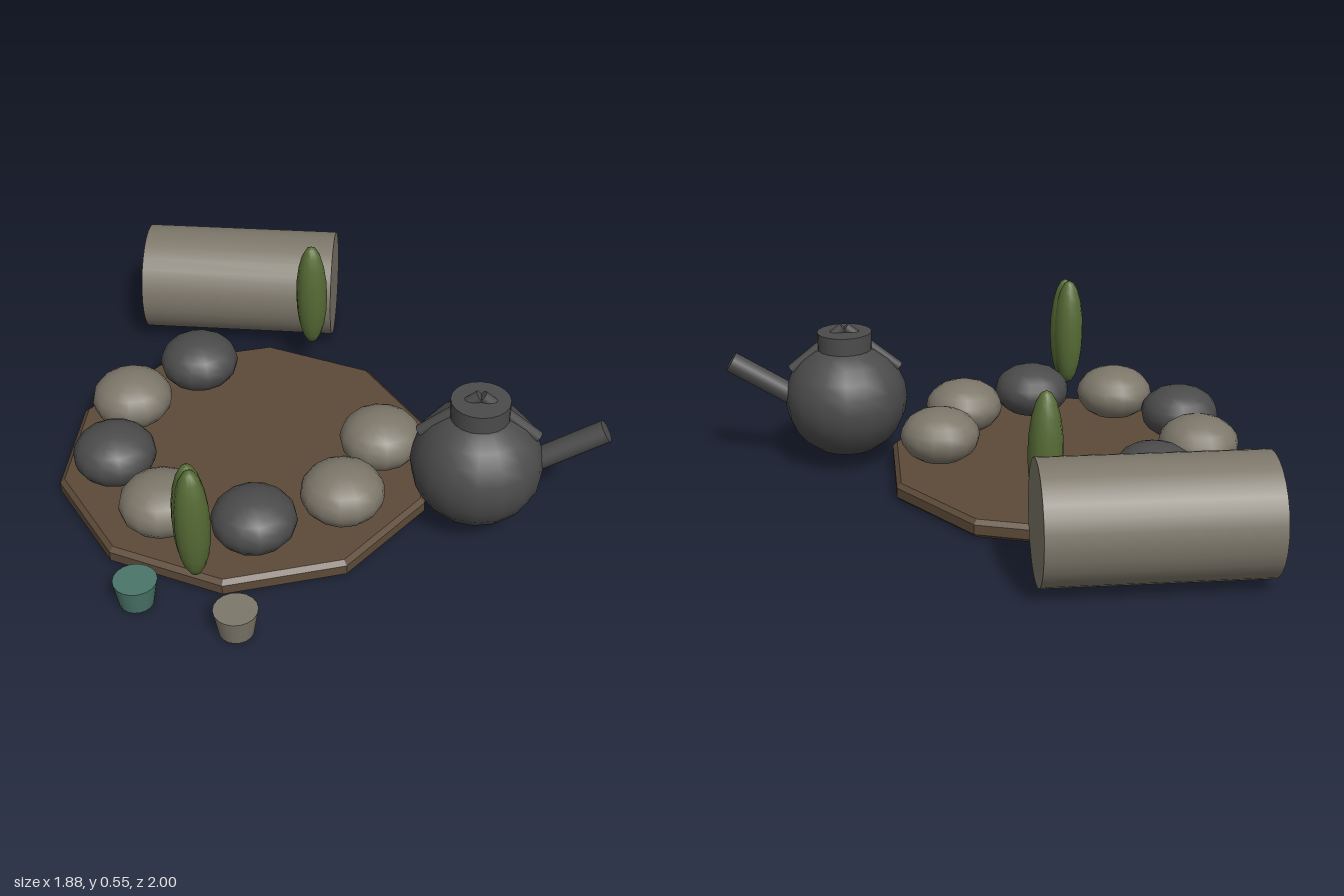
import * as THREE from 'three';

const mat = (name, color) => {
  const m = new THREE.MeshStandardMaterial({ color });
  m.name = name;
  return m;
};

export function createModel() {
  const group = new THREE.Group();
  const wood = mat('dark wood', 0x5c4a38);
  const paleStone = mat('pale stone', 0x7d776a);
  const charcoal = mat('charcoal', 0x4b4b4b);
  const leafGreen = mat('leaf green', 0x566b35);
  const teal = mat('teal', 0x4a7569);

  const add = (name, geometry, material, x, y, z, parent = group) => {
    const mesh = new THREE.Mesh(geometry, material);
    mesh.name = name;
    mesh.position.set(x, y, z);
    parent.add(mesh);
    return mesh;
  };
  // Straight rod between two points in the plane of constant z
  const rod = (name, r, a, b, z, parent) => {
    const dx = b[0] - a[0], dy = b[1] - a[1];
    const geo = new THREE.CylinderGeometry(r, r, Math.hypot(dx, dy), 12);
    const mesh = add(name, geo, charcoal, (a[0] + b[0]) / 2, (a[1] + b[1]) / 2, z, parent);
    mesh.rotation.z = Math.atan2(dy, dx) - Math.PI / 2;
  };

  // Ten-sided board with bevelled rims
  const cx = -0.305, cz = 0.11;
  const profile = [[0, 0], [0.655, 0], [0.672, 0.015], [0.672, 0.05], [0.655, 0.065], [0, 0.065]]
    .map(([r, y]) => new THREE.Vector2(r, y));
  const boardGeo = new THREE.LatheGeometry(profile, 10).toNonIndexed();
  boardGeo.computeVertexNormals();
  add('board', boardGeo, wood, cx, 0, cz);

  // Seven flattened stones, spaced 40 degrees around the board
  const stoneGeo = new THREE.SphereGeometry(0.145, 14, 10).scale(1, 0.69, 1);
  [paleStone, paleStone, charcoal, paleStone, charcoal, paleStone, charcoal].forEach((m, i) => {
    const a = i * Math.PI * 2 / 9;
    const stone = add('stone' + (i + 1), stoneGeo, m, cx + 0.472 * Math.cos(a), 0.165, cz + 0.472 * Math.sin(a));
    stone.rotation.y = i * 0.7;
  });

  // Kettle: body, lid, two handle bars and spout
  const kettle = new THREE.Group();
  kettle.name = 'kettle';
  group.add(kettle);
  const kx = 0.502, kz = 0.315;
  add('kettleBody', new THREE.SphereGeometry(0.226, 16, 12).scale(1, 0.95, 1), charcoal, kx, 0.249, kz, kettle);
  add('kettleLid', new THREE.CylinderGeometry(0.1, 0.1, 0.067, 20), charcoal, kx, 0.471, kz, kettle);
  for (const s of [-1, 1]) {
    rod('kettleHandleBar', 0.02, [kx + s * 0.197, 0.363], [kx + s * 0.004, 0.52], kz, kettle);
  }
  rod('kettleSpout', 0.039, [kx + 0.15, 0.236], [0.919, 0.401], kz, kettle);

  // Slender bushes
  const bushGeo = new THREE.SphereGeometry(0.059, 12, 10).scale(1, 3.62, 1);
  [[-0.135, -0.52], [-0.395, 0.775], [-0.383, 0.803]].forEach(([x, z]) => {
    add('bush', bushGeo, leafGreen, x, 0.335, z);
  });

  // Small tapered cups
  const cupGeo = new THREE.CylinderGeometry(0.073, 0.057, 0.095, 18);
  add('tealCup', cupGeo, teal, -0.58, 0.0475, 0.82);
  add('stoneCup', cupGeo, paleStone, -0.24, 0.0475, 0.925);

  // Large drum lying on its side behind the board
  const drum = add('drum', new THREE.CylinderGeometry(0.203, 0.203, 0.738, 28), paleStone, -0.44, 0.216, -0.796);
  drum.rotation.z = Math.PI / 2;

  return group;
}
